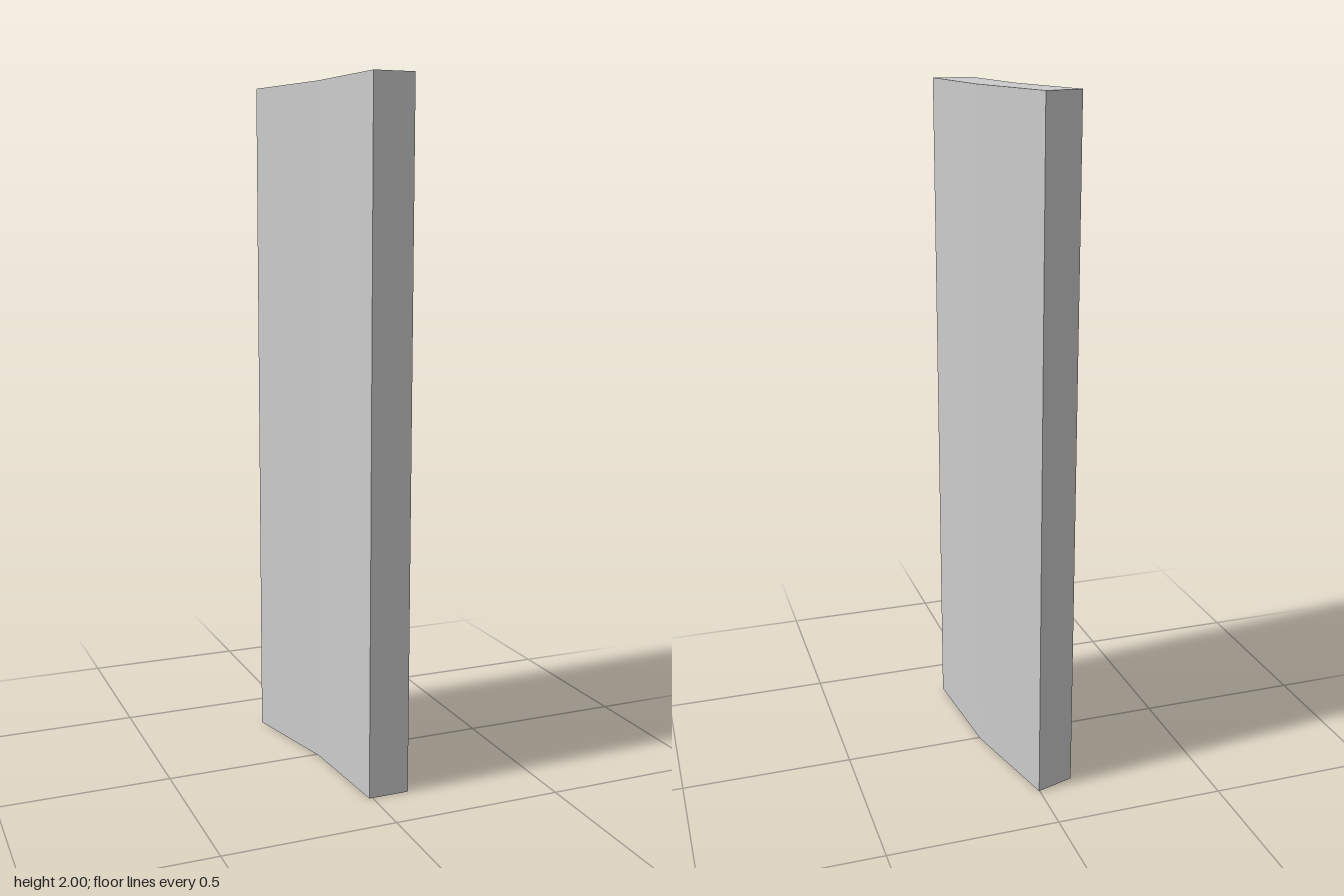
import * as THREE from 'three';

export function createModel() {
  const group = new THREE.Group();
  group.name = 'bentPanel';

  // Footprint of the bent slab as (x, z) corners
  const footprint = [
    [-0.01, 0.338], [0.11, 0.338], [0.083, -0.005],
    [0.002, -0.338], [-0.11, -0.303], [-0.035, 0.012],
  ];
  const shape = new THREE.Shape(footprint.map(([x, z]) => new THREE.Vector2(x, -z)));

  // Raise the footprint into an upright panel
  const geometry = new THREE.ExtrudeGeometry(shape, { depth: 2, bevelEnabled: false });
  geometry.rotateX(-Math.PI / 2);

  const material = new THREE.MeshStandardMaterial({ color: 0xcccccc, flatShading: true });
  const panel = new THREE.Mesh(geometry, material);
  panel.name = 'panel';
  group.add(panel);
  return group;
}
